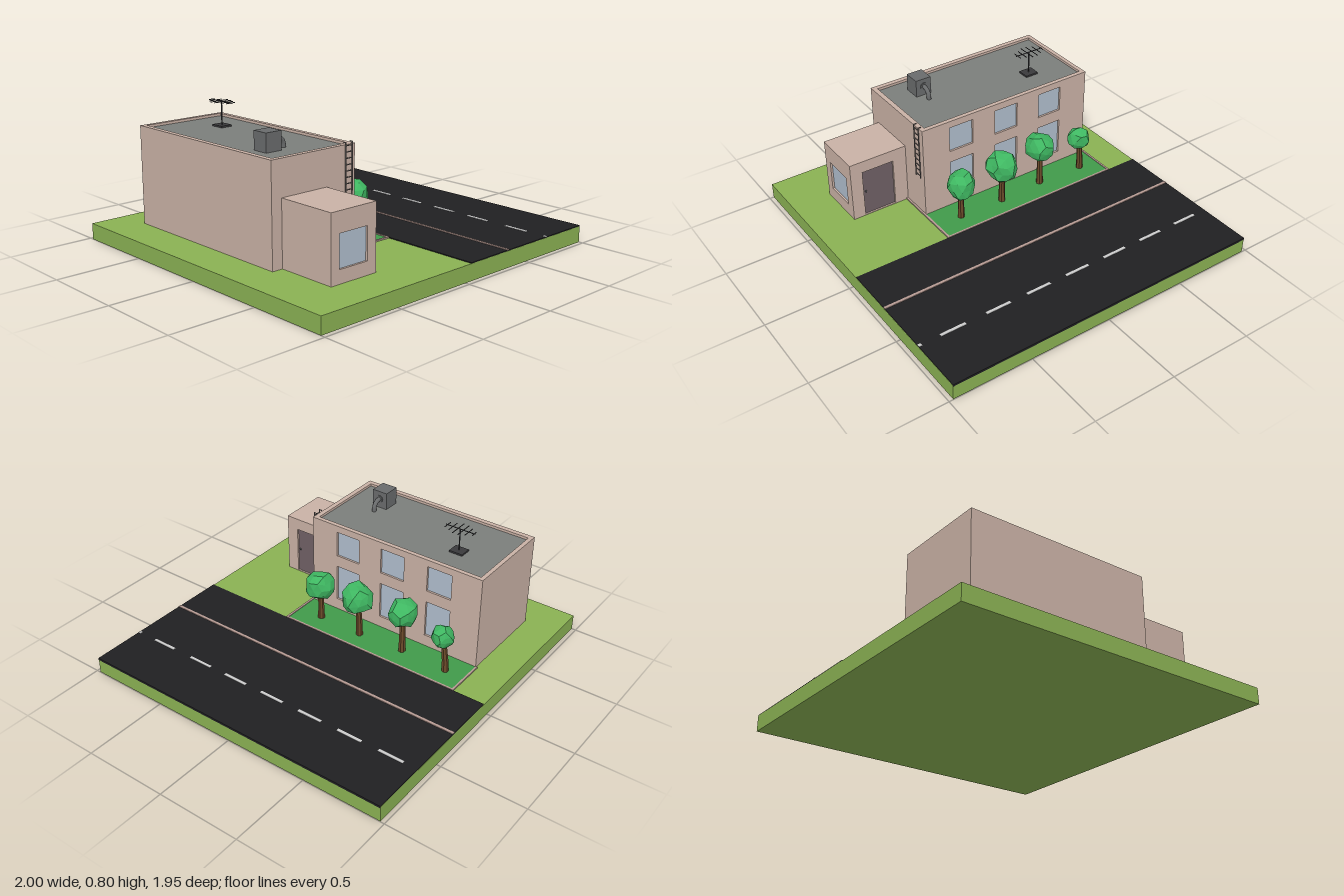
import * as THREE from 'three';

const COLORS = {
  grass: 0x8ab153, road: 0x202022, line: 0xbdbdbd, kerb: 0xb59a92, wall: 0xc9b1a5, roof: 0x7b7e7b,
  glass: 0xafbdcc, door: 0x6f6065, garden: 0x419a4a, leaf: 0x3fb862, trunk: 0x6b4a2a,
  metal: 0x696b6c, dark: 0x3a3a3c, ladder: 0x77716e,
};
const mats = {};
for (const k in COLORS) {
  mats[k] = new THREE.MeshStandardMaterial({ color: COLORS[k], flatShading: k !== 'metal' });
}

function add(parent, name, geometry, mat) {
  const m = new THREE.Mesh(geometry, mats[mat]);
  m.name = name;
  parent.add(m);
  return m;
}

// Box given by its min and max on each axis
function box(parent, name, mat, x0, x1, y0, y1, z0, z1) {
  const m = add(parent, name, new THREE.BoxGeometry(x1 - x0, y1 - y0, z1 - z0), mat);
  m.position.set((x0 + x1) / 2, (y0 + y1) / 2, (z0 + z1) / 2);
  return m;
}

function rect(Type, [u0, u1, v0, v1]) {
  return new Type([[u0, v0], [u1, v0], [u1, v1], [u0, v1]].map(([u, v]) => new THREE.Vector2(u, v)));
}

// Slab with rectangular openings, in its own xy plane, extruded along +z
function slab(parent, name, outer, openings, depth) {
  const s = rect(THREE.Shape, outer);
  s.holes = openings.map((o) => rect(THREE.Path, o));
  return add(parent, name, new THREE.ExtrudeGeometry(s, { depth, bevelEnabled: false }), 'wall');
}

// Thin round bar between two points
function bar(parent, name, mat, a, b, r) {
  const p = new THREE.Vector3(...a), q = new THREE.Vector3(...b);
  const m = add(parent, name, new THREE.CylinderGeometry(r, r, p.distanceTo(q), 6), mat);
  m.position.copy(p).add(q).multiplyScalar(0.5);
  m.quaternion.setFromUnitVectors(new THREE.Vector3(0, 1, 0), q.sub(p).normalize());
  return m;
}

function makeGroup(parent, name) {
  const g = new THREE.Group();
  g.name = name;
  parent.add(g);
  return g;
}

const G = 0.095; // lawn level
const D = 0.015; // depth of window and door recesses

function buildGround(root) {
  const g = makeGroup(root, 'ground');
  box(g, 'lawn', 'grass', -1, 0.998, 0, G, -0.975, 0.975);
  box(g, 'road', 'road', 0.045, 1, 0.087, 0.1, -0.974, 0.974);
  box(g, 'roadDivider', 'kerb', 0.338, 0.354, 0.099, 0.104, -0.974, 0.974);
  for (const z of [-0.89, -0.63, -0.37, -0.11, 0.15, 0.41, 0.69, 0.955]) {
    box(g, 'laneDash', 'line', 0.672, 0.69, 0.099, 0.102, z, Math.min(z + 0.153, 0.974));
  }
  box(g, 'gardenBed', 'garden', -0.21, 0.037, G - 0.01, 0.099, -0.77, 0.375);
  box(g, 'gardenKerbSide', 'kerb', 0.035, 0.047, G - 0.01, 0.103, -0.782, 0.387);
  box(g, 'gardenKerbBack', 'kerb', -0.21, 0.035, G - 0.01, 0.103, -0.782, -0.77);
  box(g, 'gardenKerbFront', 'kerb', -0.41, 0.035, G - 0.01, 0.103, 0.374, 0.387);
}

function buildHouse(root) {
  const g = makeGroup(root, 'house');
  const X0 = -0.78, X1 = -0.21, Z0 = -0.77, Z1 = 0.375, TOP = 0.67, ROOF = 0.655;

  // Main block, with a street facade that has window openings
  box(g, 'mainBlock', 'wall', X0, X1 - D, G, ROOF - 0.002, Z0, Z1);
  const windows = [];
  for (const z of [0.12, -0.19, -0.503]) {
    windows.push([-z - 0.079, -z + 0.079, 0.17, 0.397], [-z - 0.079, -z + 0.079, 0.47, 0.628]);
  }
  const facade = slab(g, 'streetFacade', [-Z1, -Z0, G, ROOF], windows, D);
  facade.rotation.y = Math.PI / 2;
  facade.position.x = X1 - D;
  for (const [u0, u1, v0, v1] of windows) {
    box(g, 'windowPane', 'glass', X1 - D - 0.004, X1 - D + 0.003, v0, v1, -u1, -u0);
  }

  // Parapet ring around the sunken flat roof
  const ring = slab(g, 'parapet', [X0, X1, -Z1, -Z0], [[-0.75, -0.236, -0.346, 0.745]], TOP - ROOF + 0.002);
  ring.rotation.x = -Math.PI / 2;
  ring.position.y = ROOF - 0.002;
  box(g, 'flatRoof', 'roof', -0.75, -0.236, ROOF - 0.01, ROOF, -0.745, 0.346);

  // Entrance annex: window at the front, door on the street side
  const AX0 = -0.715, AX1 = -0.41, AZ = 0.735, AT = 0.467;
  const a = makeGroup(g, 'annex');
  box(a, 'annexBlock', 'wall', AX0, AX1 - D, G, AT, Z1, AZ - D);
  const opening = [-0.66, -0.47, 0.17, 0.353];
  slab(a, 'annexFront', [AX0, AX1, G, AT], [opening], D).position.z = AZ - D;
  box(a, 'annexWindow', 'glass', opening[0], opening[1], opening[2], opening[3], AZ - D - 0.004, AZ - D + 0.003);
  const side = slab(a, 'annexSide', [D - AZ, -Z1, G, AT], [[-0.66, -0.46, G + 0.003, 0.395]], D);
  side.rotation.y = Math.PI / 2;
  side.position.x = AX1 - D;
  box(a, 'door', 'door', AX1 - D - 0.004, AX1 - D + 0.004, G, 0.395, 0.46, 0.66);
  const knob = add(a, 'doorKnob', new THREE.SphereGeometry(0.006, 10, 8), 'metal');
  knob.position.set(AX1 - D + 0.009, 0.255, 0.643);

  // Ladder on the front wall, hooked over the parapet
  const l = makeGroup(g, 'ladder');
  for (const x of [-0.284, -0.237]) {
    bar(l, 'ladderRail', 'ladder', [x, 0.345, Z1 + 0.009], [x, 0.685, Z1 + 0.009], 0.0035);
    bar(l, 'ladderHook', 'ladder', [x, 0.683, Z1 + 0.009], [x, 0.683, Z1 - 0.008], 0.0035);
  }
  for (let i = 0; i < 10; i++) {
    const y = 0.36 + i * 0.034;
    bar(l, 'ladderRung', 'ladder', [-0.284, y, Z1 + 0.009], [-0.237, y, Z1 + 0.009], 0.003);
  }

  // Roof ventilation unit with a bent duct
  const v = makeGroup(g, 'ventilationUnit');
  box(v, 'ventBox', 'metal', -0.662, -0.56, ROOF, 0.76, 0.098, 0.196);
  const path = new THREE.CatmullRomCurve3([
    [-0.565, 0.713], [-0.54, 0.712], [-0.518, 0.7], [-0.507, 0.68], [-0.504, ROOF - 0.004],
  ].map(([x, y]) => new THREE.Vector3(x, y, 0.147)));
  add(v, 'ventDuct', new THREE.TubeGeometry(path, 16, 0.013, 12), 'metal');
  const flange = add(v, 'ductFlange', new THREE.CylinderGeometry(0.022, 0.022, 0.006, 20), 'metal');
  flange.rotation.z = Math.PI / 2;
  flange.position.set(-0.557, 0.713, 0.147);

  // Roof antenna
  const t = makeGroup(g, 'antenna');
  const ax = -0.412, az = -0.497;
  box(t, 'antennaBase', 'dark', ax - 0.036, ax + 0.036, ROOF, ROOF + 0.01, az - 0.042, az + 0.042);
  bar(t, 'antennaMast', 'dark', [ax, ROOF, az], [ax, 0.8, az], 0.004);
  bar(t, 'antennaBoom', 'dark', [ax, 0.798, -0.59], [ax, 0.798, -0.405], 0.003);
  [0.02, 0.042, 0.06, 0.06, 0.042, 0.03].forEach((half, i) => {
    const z = -0.585 + i * 0.034;
    bar(t, 'antennaElement', 'dark', [ax - half, 0.798, z], [ax + half, 0.798, z], 0.0028);
  });
}

// Faceted tree: leaning tapered trunk and a lumpy crown
function buildTree(root, [bx, bz, cx, cy, cz, r], seed) {
  const g = makeGroup(root, 'tree');
  const h = cy - 0.09;
  const trunk = new THREE.CylinderGeometry(0.014, 0.021, h, 7, 3);
  const p = trunk.attributes.position;
  for (let i = 0; i < p.count; i++) {
    const t = p.getY(i) / h + 0.5;
    p.setX(i, p.getX(i) + (cx - bx) * t * t);
    p.setZ(i, p.getZ(i) + (cz - bz) * t * t);
  }
  add(g, 'trunk', trunk, 'trunk').position.set(bx, 0.09 + h / 2, bz);

  const crown = new THREE.IcosahedronGeometry(1, 1);
  const c = crown.attributes.position;
  const v = new THREE.Vector3();
  for (let i = 0; i < c.count; i++) {
    v.fromBufferAttribute(c, i);
    const key = Math.round(v.x * 50) * 1.7 + Math.round(v.y * 50) * 3.1 + Math.round(v.z * 50) * 5.3;
    v.multiplyScalar(r * (0.98 + 0.1 * Math.sin(key + seed * 7.7)));
    c.setXYZ(i, v.x, v.y, v.z);
  }
  const m = add(g, 'crown', crown, 'leaf');
  m.position.set(cx, cy, cz);
  m.rotation.set(seed, seed * 2.3, seed * 0.7);
}

export function createModel() {
  const root = new THREE.Group();
  root.name = 'houseByRoad';
  buildGround(root);
  buildHouse(root);
  // Trunk x, z, then crown x, y, z and radius
  [
    [-0.08, 0.218, -0.072, 0.33, 0.218, 0.09],
    [-0.075, -0.065, -0.063, 0.355, -0.06, 0.095],
    [-0.09, -0.353, -0.092, 0.357, -0.35, 0.088],
    [-0.08, -0.65, -0.07, 0.328, -0.627, 0.068],
  ].forEach((tree, i) => buildTree(root, tree, i + 1));
  return root;
}
